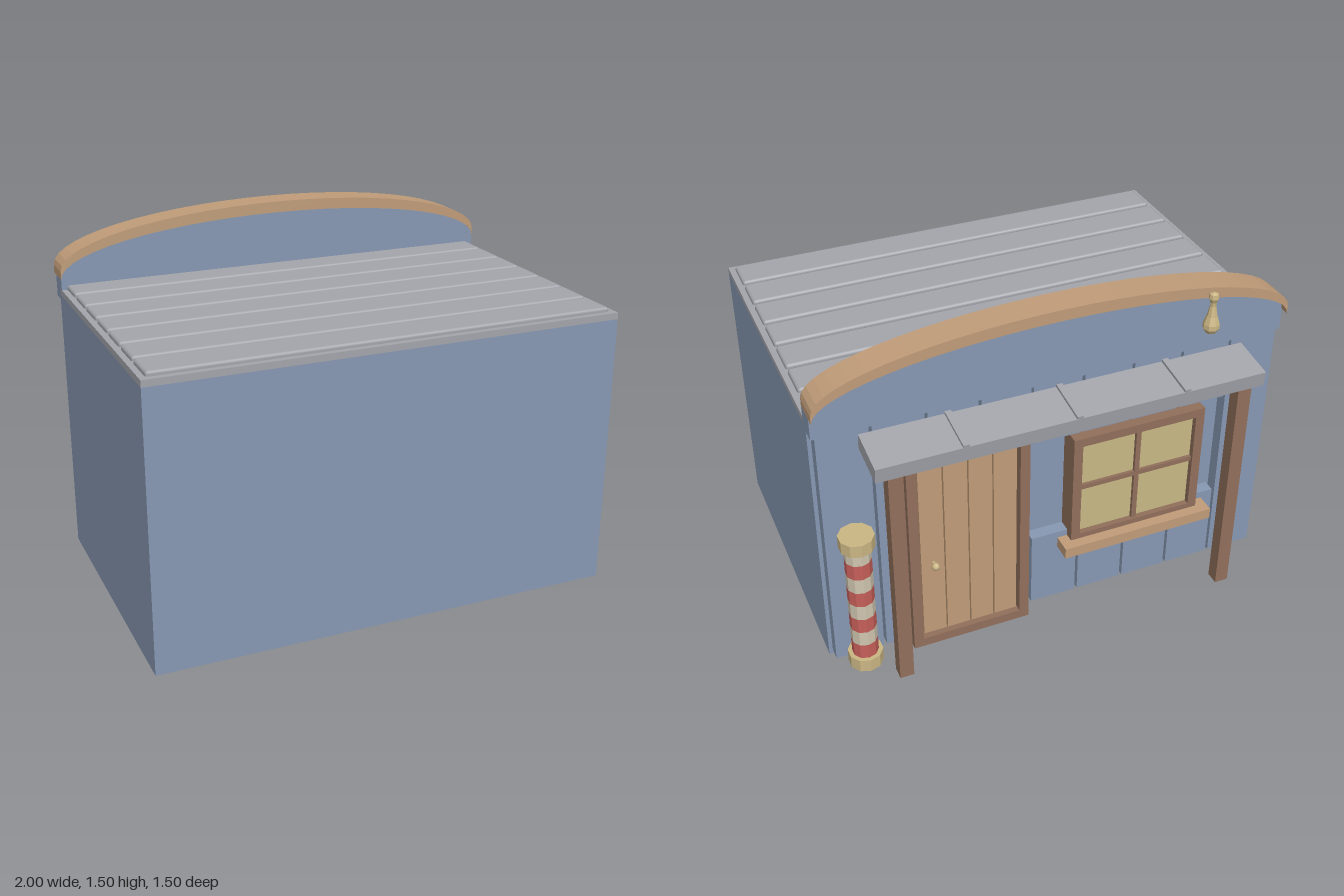
import * as THREE from 'three';
import { RoundedBoxGeometry } from 'three/addons/geometries/RoundedBoxGeometry.js';

const mat = (name, color) => {
  const m = new THREE.MeshStandardMaterial({ color });
  m.name = name;
  return m;
};

export function createModel() {
  const blue = mat('blue paint', 0x8798b3);
  const grey = mat('grey roofing', 0xa3a5ac);
  const tan = mat('tan wood', 0xc09c79);
  const brown = mat('brown wood', 0x916f5b);
  const brass = mat('brass', 0xcbb684);
  const cream = mat('cream', 0xd0c6b0);
  const red = mat('red', 0xc75f5a);
  const darkGap = mat('pane khaki', 0xc8b886);

  const root = new THREE.Group();
  root.name = 'shop';
  const add = (name, geo, m, parent = root) => {
    const mesh = new THREE.Mesh(geo, m);
    mesh.name = name;
    parent.add(mesh);
    return mesh;
  };
  const group = (name) => {
    const g = new THREE.Group();
    g.name = name;
    root.add(g);
    return g;
  };
  // Box given by its limits on each axis
  const box = (name, m, [x0, x1], [y0, y1], [z0, z1], parent = root) => {
    const b = add(name, new THREE.BoxGeometry(x1 - x0, y1 - y0, z1 - z0), m, parent);
    b.position.set((x0 + x1) / 2, (y0 + y1) / 2, (z0 + z1) / 2);
    return b;
  };

  // Building body and roof slab
  box('body', blue, [-1, 1], [0, 1.175], [-0.49, 0.75]);
  box('roofSlab', grey, [-1, 1], [1.175, 1.203], [-0.49, 0.75]);

  // Roof planks
  const roof = group('roofPlanks');
  for (let i = 0; i < 7; i++) {
    const p = add('roofPlank', new RoundedBoxGeometry(1.95, 0.036, 0.159, 1, 0.012), grey, roof);
    p.position.set(0, 1.204, 0.645 - i * 0.175);
  }

  // Facade boards, four of them cut away around the window
  const boards = group('facadeBoards');
  for (let i = 0; i < 9; i++) {
    const c = (i - 4) * 0.22;
    const spanX = [c - 0.104, c + 0.104];
    const cut = i >= 1 && i <= 4;
    const spans = cut ? [[0.02, 0.375], [0.875, 1.16]] : [[0.02, 1.16]];
    for (const s of spans) box('facadeBoard', blue, spanX, s, [-0.545, -0.485], boards);
  }

  // Curved parapet with its cap
  const N = 28;
  const arc = (cy, b) => Array.from({ length: N + 1 }, (_, i) => {
    const t = (Math.PI * i) / N;
    return new THREE.Vector2(Math.cos(t), cy + b * Math.sin(t));
  });
  const outer = arc(1.285, 0.217);
  const inner = arc(1.25, 0.203);
  const extrude = (pts, z0, z1) => {
    const g = new THREE.ExtrudeGeometry(new THREE.Shape(pts), { depth: z1 - z0, bevelEnabled: false });
    g.translate(0, 0, z0);
    return g;
  };
  add('parapet', extrude([new THREE.Vector2(-1, 1.155), new THREE.Vector2(1, 1.155), ...inner], -0.55, -0.456), blue);
  add('parapetCap', extrude([...outer, ...inner.slice().reverse()], -0.587, -0.455), tan);

  // Sloping awning with battens
  const awning = group('awning');
  awning.position.set(0, 1.086, -0.645);
  awning.rotation.x = -0.13;
  box('awningSlab', grey, [-0.82, 0.82], [-0.034, 0.034], [-0.1, 0.1], awning);
  for (const x of [-0.465, 0, 0.465]) {
    box('awningBatten', grey, [x - 0.013, x + 0.013], [0.03, 0.046], [-0.1, 0.1], awning);
  }
  for (const x of [-0.74, 0.74]) {
    box('awningPost', brown, [x - 0.03, x + 0.03], [0, 1.06], [-0.734, -0.675]);
  }

  // Door: frame, planks and knob
  const door = group('door');
  const dz = [-0.6, -0.535];
  box('doorFrameSide', brown, [0.14, 0.182], [0, 0.97], dz, door);
  box('doorFrameSide', brown, [0.618, 0.66], [0, 0.97], dz, door);
  box('doorFrameTop', brown, [0.182, 0.618], [0.928, 0.97], dz, door);
  box('doorSill', brown, [0.182, 0.618], [0, 0.042], dz, door);
  box('doorBacking', brown, [0.182, 0.618], [0.042, 0.928], [-0.56, -0.535], door);
  for (let i = 0; i < 4; i++) {
    const x = 0.19 + i * 0.106;
    box('doorPlank', tan, [x, x + 0.1], [0.05, 0.92], [-0.58, -0.55], door);
  }
  const stem = add('doorKnobStem', new THREE.CylinderGeometry(0.009, 0.009, 0.03, 8), brass, door);
  stem.rotation.x = Math.PI / 2;
  stem.position.set(0.555, 0.43, -0.59);
  const knob = add('doorKnob', new THREE.SphereGeometry(0.018, 8, 6), brass, door);
  knob.position.set(0.555, 0.43, -0.606);

  // Window: frame, panes, glazing bars and sill
  const win = group('window');
  const wx = [-0.66, -0.06], wy = [0.33, 0.87], wz = [-0.585, -0.485], f = 0.04;
  box('windowFrameSide', brown, [wx[0], wx[0] + f], wy, wz, win);
  box('windowFrameSide', brown, [wx[1] - f, wx[1]], wy, wz, win);
  box('windowFrameTop', brown, [wx[0] + f, wx[1] - f], [wy[1] - f, wy[1]], wz, win);
  box('windowFrameBottom', brown, [wx[0] + f, wx[1] - f], [wy[0], wy[0] + f], wz, win);
  box('windowPane', darkGap, [wx[0] + f, wx[1] - f], [wy[0] + f, wy[1] - f], [-0.56, -0.49], win);
  box('glazingBar', brown, [-0.371, -0.349], [wy[0] + f, wy[1] - f], [-0.575, -0.555], win);
  box('glazingBar', brown, [wx[0] + f, wx[1] - f], [0.599, 0.621], [-0.574, -0.555], win);
  box('windowSill', tan, [-0.71, -0.015], [0.295, 0.345], [-0.63, -0.54], win);

  // Striped pole with end caps
  const pole = group('stripedPole');
  pole.position.set(0.888, 0, -0.662);
  const drum = (name, m, r, y0, y1) => {
    const d = add(name, new THREE.CylinderGeometry(r, r, y1 - y0, 10).toNonIndexed(), m, pole);
    d.geometry.computeVertexNormals();
    d.position.y = (y0 + y1) / 2;
  };
  drum('poleCap', brass, 0.072, 0.092, 0.15);
  drum('poleCap', brass, 0.072, 0.7, 0.756);
  for (let i = 0; i < 8; i++) {
    drum('poleBand', i % 2 ? cream : red, 0.054, 0.15 + i * 0.07, Math.min(0.22 + i * 0.07, 0.7));
  }

  // Faceted bottle-shaped ornament on the parapet
  const profile = [[0, 1.262], [0.022, 1.265], [0.035, 1.285], [0.034, 1.305], [0.022, 1.34],
    [0.012, 1.385], [0.013, 1.4], [0.021, 1.418], [0.018, 1.437], [0, 1.445]];
  const lathe = new THREE.LatheGeometry(profile.map(([r, y]) => new THREE.Vector2(r, y)), 8).toNonIndexed();
  lathe.computeVertexNormals();
  add('parapetOrnament', lathe, brass).position.set(-0.63, 0, -0.608);

  return root;
}
